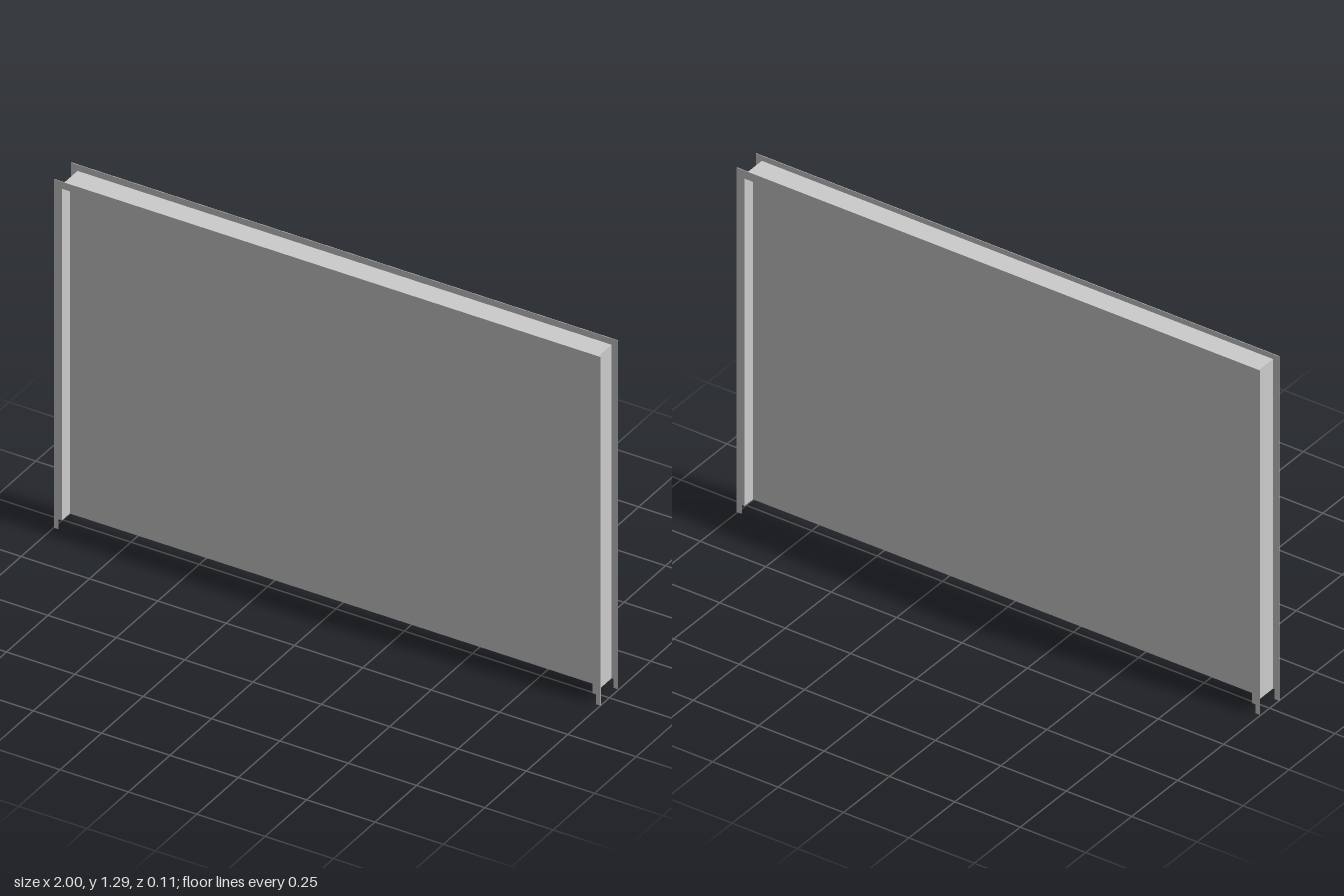
import * as THREE from 'three';

const material = new THREE.MeshStandardMaterial({ color: 0xcccccc, flatShading: true });

function box(name, w, h, d, x, y, z) {
  const mesh = new THREE.Mesh(new THREE.BoxGeometry(w, h, d), material);
  mesh.name = name;
  mesh.position.set(x, y, z);
  return mesh;
}

export function createModel() {
  const group = new THREE.Group();
  group.name = 'framedPanel';

  const depth = 0.107, sheet = 0.002;      // overall depth, flange thickness
  const inner = 0.97, web = 0.007;         // opening half width, lining thickness
  const bottom = 0.037, head = 1.265;      // opening bottom and top
  const height = head - bottom;

  // Thin panel in the middle of the frame
  group.add(box('panel', inner * 2, height, 0.013, 0, bottom + height / 2, 0));

  // Frame lining: two jambs and a head
  const lining = depth - 2 * sheet;
  for (const [side, name] of [[1, 'leftJamb'], [-1, 'rightJamb']]) {
    group.add(box(name, web, height, lining, side * (inner + web / 2), bottom + height / 2, 0));
  }
  group.add(box('headLining', 2 * (inner + web), web, lining, 0, head + web / 2, 0));

  // Flat flange with narrow feet, one on each face; the back one sits slightly higher
  const flange = (name, base, top, z) => {
    const half = [
      [1, top], [1, base], [0.983, base], [0.983, bottom], [inner, bottom], [inner, head],
    ];
    const mirrored = half.map(([x, y]) => [-x, y]).reverse();
    const shape = new THREE.Shape([...half, ...mirrored].map(([x, y]) => new THREE.Vector2(x, y)));
    const mesh = new THREE.Mesh(
      new THREE.ExtrudeGeometry(shape, { depth: sheet, bevelEnabled: false }), material);
    mesh.name = name;
    mesh.position.z = z;
    group.add(mesh);
  };
  flange('frontFlange', 0, 1.291, depth / 2 - sheet);
  flange('backFlange', 0.004, 1.295, -depth / 2);

  return group;
}
